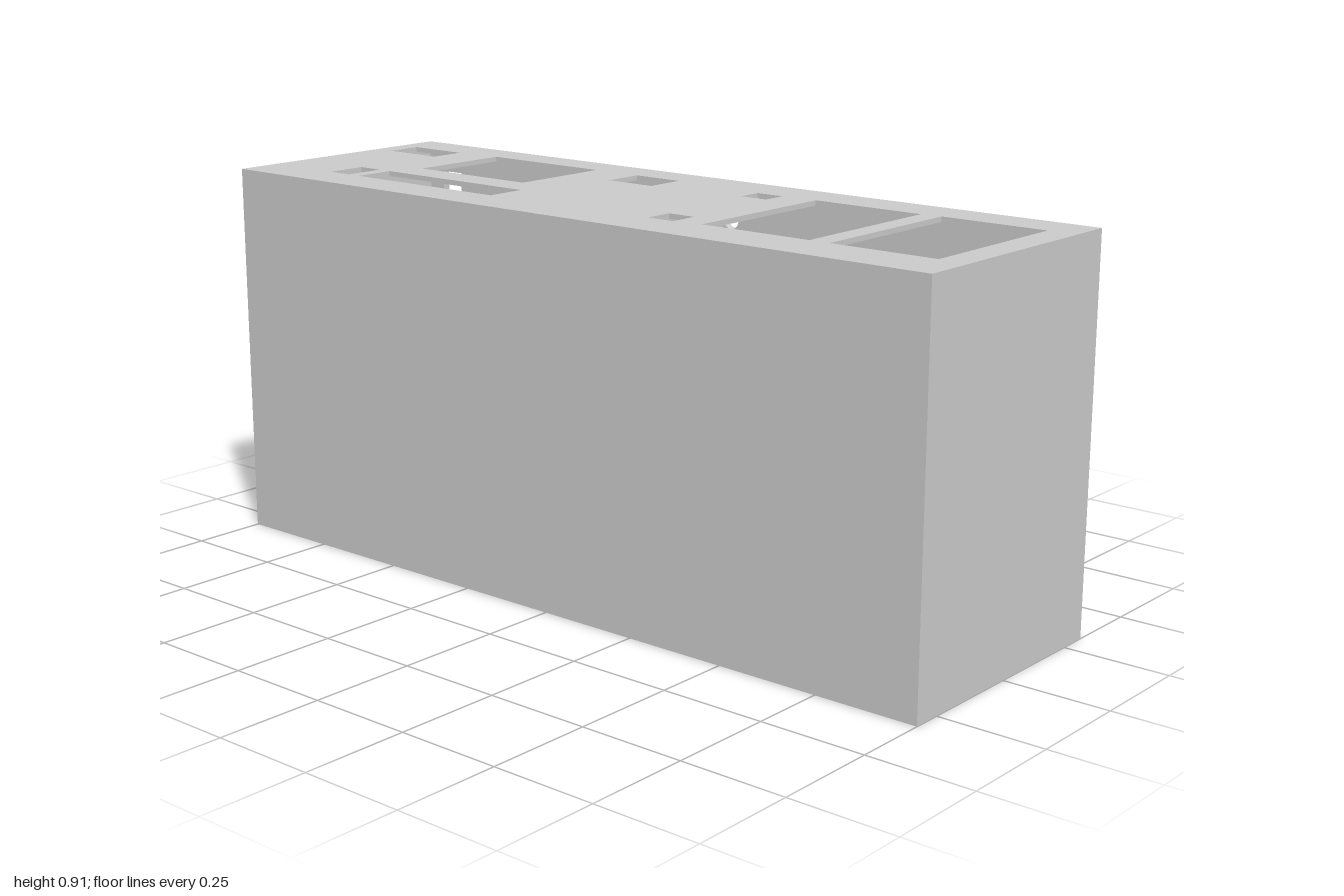
import * as THREE from 'three';

const W = 2, H = 0.91, D = 0.64;
const T = 0.02;          // back, sides and partition
const LID = 0.012;       // top and bottom panels
const FRONT = 0.11;      // thick front block

// Openings in the top panel: x0, x1, z0, z1
const TOP_HOLES = [
  [-0.95, -0.79, -0.22, -0.13], [-0.67, -0.33, -0.23, 0.03], [-0.2, -0.07, -0.23, -0.13],
  [0.18, 0.25, -0.21, -0.15], [0.34, 0.62, -0.215, 0.19], [0.67, 0.93, -0.22, 0.19],
  [0.2, 0.27, 0.13, 0.2], [-0.8, -0.735, 0.11, 0.21], [-0.7, -0.26, 0.11, 0.21],
];

// Rectangular openings in the back panel: centre x, y, width, height
const S = 0.066;
const BACK_RECTS = [
  [0.83, 0.772, 0.05, 0.115], [0.5, 0.451, 0.316, 0.142], [0.89, 0.105, S, 0.055],
  [-0.1, 0.807, S, S], [-0.9, 0.807, S, S], [-0.9, 0.104, S, S], [-0.1, 0.104, S, S],
  [0.115, 0.104, S, S], [-0.326, 0.455, S, S], [-0.674, 0.455, S, S],
];

// Round openings in the back panel: x, y, radius
const R = 0.022;
const BACK_ROUNDS = [
  [-0.5, 0.455, 0.054], [0.095, 0.876, R], [0.033, 0.819, R], [-0.033, 0.797, R],
  [0.033, 0.109, R], [-0.033, 0.109, R], [0.112, 0.031, R],
];

function rectPath(x0, x1, y0, y1, Type = THREE.Path) {
  const p = new Type();
  p.moveTo(x0, y0);
  p.lineTo(x1, y0);
  p.lineTo(x1, y1);
  p.lineTo(x0, y1);
  p.closePath();
  return p;
}

export function createModel() {
  const group = new THREE.Group();
  const material = new THREE.MeshStandardMaterial({ color: 0xcccccc });

  function add(name, geometry, x = 0, y = 0, z = 0) {
    const mesh = new THREE.Mesh(geometry, material);
    mesh.name = name;
    mesh.position.set(x, y, z);
    group.add(mesh);
  }

  // Back panel with mounting holes
  const back = rectPath(-W / 2, W / 2, 0, H, THREE.Shape);
  for (const [x, y, w, h] of BACK_RECTS) {
    back.holes.push(rectPath(x - w / 2, x + w / 2, y - h / 2, y + h / 2));
  }
  for (const [x, y, r] of BACK_ROUNDS) {
    back.holes.push(new THREE.Path().absarc(x, y, r, 0, Math.PI * 2, true));
  }
  add('backPanel', new THREE.ExtrudeGeometry(back, { depth: T, bevelEnabled: false, curveSegments: 16 }), 0, 0, -D / 2);

  // Top panel with openings
  const top = rectPath(-W / 2, W / 2, -D / 2, D / 2 - T, THREE.Shape);
  for (const [x0, x1, z0, z1] of TOP_HOLES) top.holes.push(rectPath(x0, x1, -z1, -z0));
  const topGeometry = new THREE.ExtrudeGeometry(top, { depth: LID, bevelEnabled: false });
  topGeometry.rotateX(-Math.PI / 2);
  add('topPanel', topGeometry, 0, H - LID, 0);

  // Closed walls, set between the back and the top panels
  const innerH = H - 2 * LID;
  const innerD = D - T - FRONT;
  const midY = H / 2;
  const midZ = (T - FRONT) / 2;
  add('bottomPanel', new THREE.BoxGeometry(W, LID, D - T), 0, LID / 2, T / 2);
  add('frontWall', new THREE.BoxGeometry(W, innerH, FRONT), 0, midY, D / 2 - FRONT / 2);
  for (const [name, side] of [['leftWall', 1], ['rightWall', -1]]) {
    add(name, new THREE.BoxGeometry(T, innerH, innerD), side * (W / 2 - T / 2), midY, midZ);
  }

  // Central partition between the two chambers
  add('partition', new THREE.BoxGeometry(T, innerH, innerD), 0, midY, midZ);

  return group;
}
